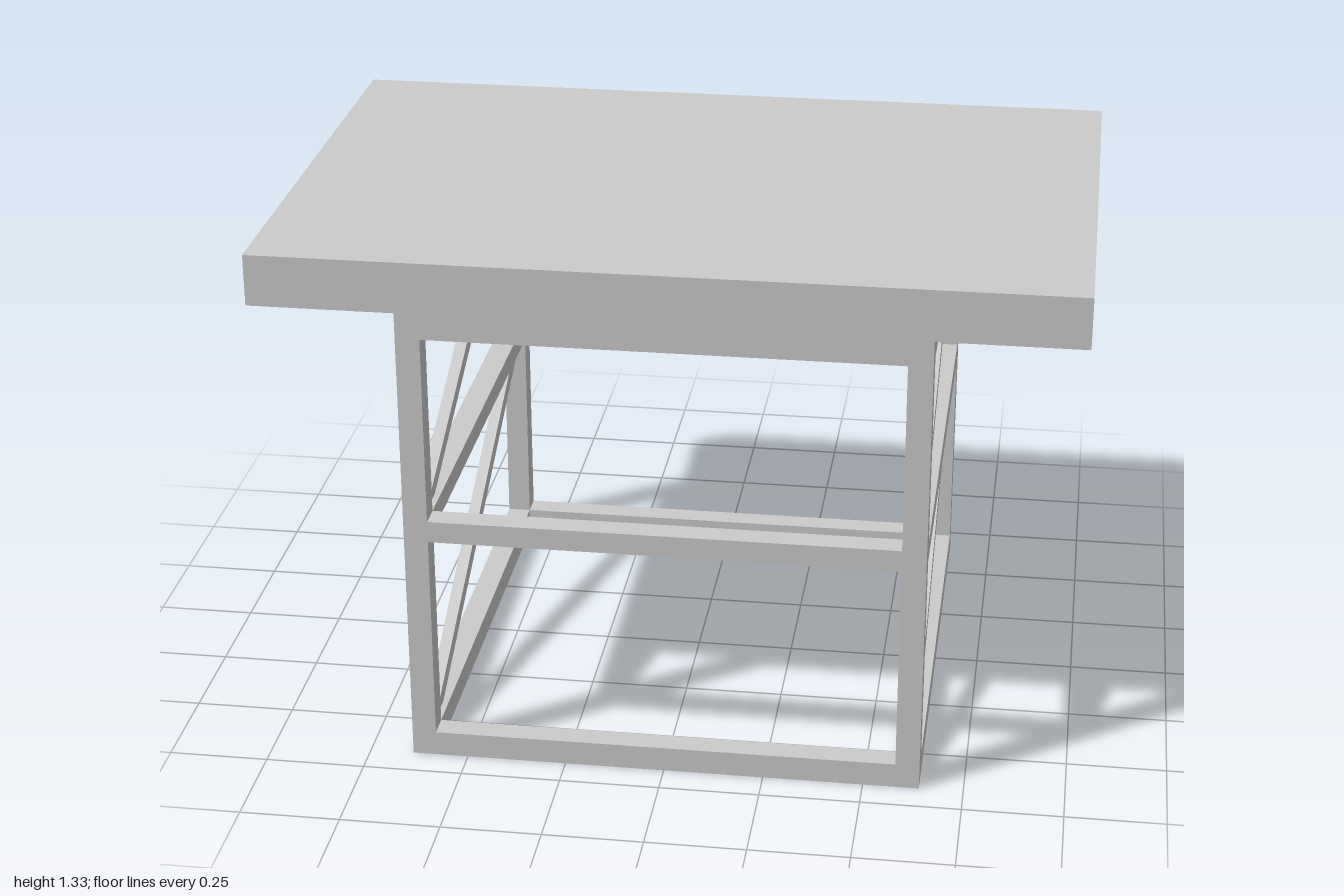
import * as THREE from 'three';

export function createModel() {
  const model = new THREE.Group();
  const material = new THREE.MeshStandardMaterial({ color: 0xcccccc, flatShading: true });

  const add = (name, geometry, x, y, z) => {
    const mesh = new THREE.Mesh(geometry, material);
    mesh.name = name;
    mesh.position.set(x, y, z);
    model.add(mesh);
  };
  // Box given by its size, its bottom height and its centre in plan
  const box = (name, w, h, d, x, bottom, z) =>
    add(name, new THREE.BoxGeometry(w, h, d), x, bottom + h / 2, z);

  const halfX = 0.64, halfZ = 0.667;   // outer faces of the frame
  const barX = 0.06, barZ = 0.062;     // bar thickness
  const innerX = halfX - barX, innerZ = halfZ - barZ;
  const slabBottom = 1.14, topBottom = 1.205, height = 1.334;
  const rails = [
    { name: 'bottomRail', y: 0, h: 0.064 },
    { name: 'middleRail', y: 0.602, h: 0.055 },
  ];

  // Wide top on a solid slab the size of the frame
  box('tableTop', 2, height - topBottom, halfZ * 2, 0, topBottom, 0);
  box('underSlab', halfX * 2, topBottom - slabBottom, halfZ * 2, 0, slabBottom, 0);

  // Slanted brace with level ends, rising from front to back
  const braceWidth = 0.03, foot = 0.095;
  const braceGeometry = (y0, y1) => {
    const shape = new THREE.Shape([
      new THREE.Vector2(-innerZ, y0),
      new THREE.Vector2(-innerZ + foot, y0),
      new THREE.Vector2(innerZ, y1),
      new THREE.Vector2(innerZ - foot, y1),
    ]);
    return new THREE.ExtrudeGeometry(shape, { depth: braceWidth, bevelEnabled: false })
      .translate(0, 0, -braceWidth / 2)
      .rotateY(Math.PI / 2);
  };

  for (const s of [-1, 1]) {
    const sideX = s * (halfX - barX / 2);
    const endZ = s * (halfZ - barZ / 2);

    // Legs
    for (const t of [-1, 1]) {
      box('leg', barX, slabBottom, barZ, sideX, 0, t * (halfZ - barZ / 2));
    }
    // Rails between the legs
    for (const r of rails) {
      box(r.name, innerX * 2, r.h, barZ, 0, r.y, endZ);
      box(r.name, barX, r.h, innerZ * 2, sideX, r.y, 0);
    }
    // Braces on each side, one per level
    add('lowerBrace', braceGeometry(rails[0].h, rails[1].y), sideX, 0, 0);
    add('upperBrace', braceGeometry(rails[1].y + rails[1].h, slabBottom), sideX, 0, 0);
  }
  return model;
}
